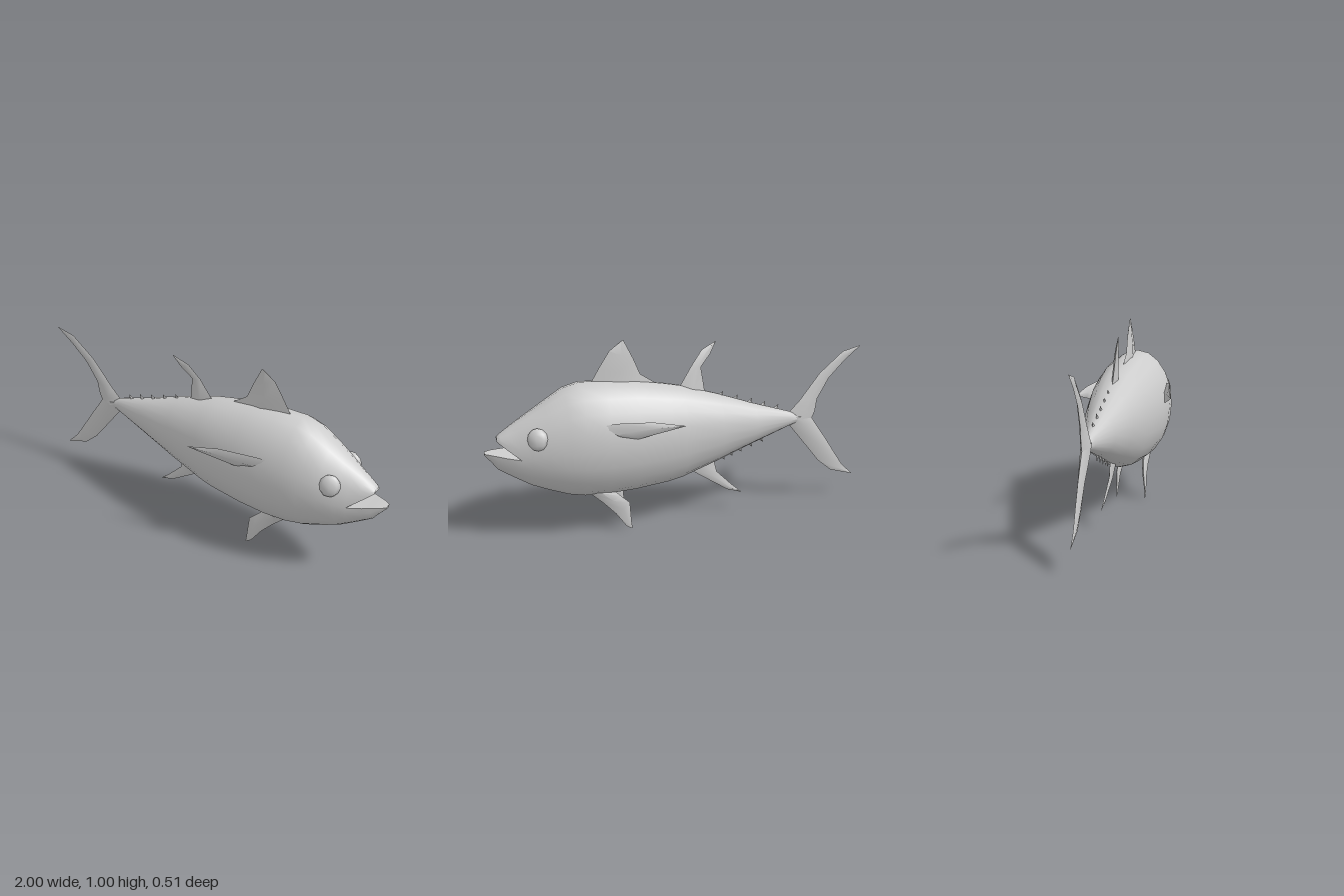
import * as THREE from 'three';
import { mergeGeometries, toCreasedNormals } from 'three/addons/utils/BufferGeometryUtils.js';

const ZC = -0.017; // body centre line
const grey = new THREE.MeshStandardMaterial({ color: 0xcccccc });
grey.name = 'fish grey';

// Joins equal-length rings of [x, y, z] points into a skin that faces outwards.
function loft(rings, capStart = true, capEnd = true) {
  const n = rings[0].length, idx = [];
  const pts = rings.flat();
  for (let i = 0; i < rings.length - 1; i++) {
    for (let j = 0; j < n; j++) {
      const a = i * n + j, b = i * n + (j + 1) % n;
      idx.push(a, a + n, b, b, a + n, b + n);
    }
  }
  const last = (rings.length - 1) * n;
  for (let j = 1; j < n - 1; j++) {
    if (capStart) idx.push(0, j, j + 1);
    if (capEnd) idx.push(last, last + j + 1, last + j);
  }
  // Signed volume about the first point tells which way the faces point.
  const v = pts.map(p => new THREE.Vector3(...p));
  let volume = 0;
  for (let k = 0; k < idx.length; k += 3) {
    const [a, b, c] = [0, 1, 2].map(o => v[idx[k + o]].clone().sub(v[0]));
    volume += a.dot(b.cross(c));
  }
  if (volume < 0) idx.reverse();
  const g = new THREE.BufferGeometry();
  g.setAttribute('position', new THREE.Float32BufferAttribute(pts.flat(), 3));
  g.setIndex(idx);
  return g;
}

// Body ring: separate heights above and below the widest level.
function ring([x, top, mid, bottom, w]) {
  return Array.from({ length: 20 }, (_, i) => {
    const a = i / 20 * Math.PI * 2, s = Math.sin(a);
    return [x, mid + s * (s > 0 ? top - mid : mid - bottom), ZC + w * Math.cos(a)];
  });
}

// Fin rows: leading x, y, trailing x, y, middle z, half thickness.
function finGeometry(rows) {
  const g = loft(rows.map(([lx, ly, tx, ty, z, t]) => {
    const mx = (lx + tx) / 2, my = (ly + ty) / 2;
    return [[lx, ly, z], [mx, my, z + t], [tx, ty, z], [mx, my, z - t]];
  }));
  return toCreasedNormals(g, 1.0);
}

export function createModel() {
  const model = new THREE.Group();
  model.name = 'fish';
  const add = (name, geometry) => {
    const mesh = new THREE.Mesh(geometry, grey);
    mesh.name = name;
    model.add(mesh);
    return mesh;
  };
  const addFin = (name, rows) => add(name, finGeometry(rows));

  // Body with open jaws: x, top, widest level, bottom, half width
  const trunk = loft([
    [-0.68, 0.5, 0.49, 0.48, 0.008],
    [-0.6, 0.535, 0.492, 0.455, 0.03],
    [-0.4, 0.6, 0.495, 0.385, 0.08],
    [-0.2, 0.672, 0.5, 0.31, 0.127],
    [0, 0.735, 0.5, 0.24, 0.165],
    [0.08, 0.752, 0.5, 0.223, 0.178],
    [0.25, 0.785, 0.5, 0.205, 0.198],
    [0.4, 0.797, 0.5, 0.198, 0.206],
    [0.52, 0.8, 0.5, 0.202, 0.198],
    [0.6, 0.778, 0.495, 0.218, 0.184],
    [0.7, 0.715, 0.485, 0.255, 0.157],
    [0.78, 0.665, 0.47, 0.288, 0.126],
    [0.83, 0.635, 0.46, 0.318, 0.102],
  ].map(ring), true, false);
  const upperJaw = loft([
    [0.83, 0.635, 0.46, 0.46, 0.102],
    [0.88, 0.6, 0.498, 0.498, 0.073],
    [0.92, 0.572, 0.528, 0.528, 0.046],
    [0.937, 0.558, 0.54, 0.54, 0.028],
  ].map(ring), false, true);
  const lowerJaw = loft([
    [0.83, 0.46, 0.46, 0.318, 0.102],
    [0.9, 0.468, 0.468, 0.362, 0.073],
    [0.94, 0.474, 0.474, 0.388, 0.053],
    [0.97, 0.478, 0.478, 0.43, 0.038],
    [1.0, 0.48, 0.48, 0.468, 0.018],
  ].map(ring), false, true);
  add('body', toCreasedNormals(mergeGeometries([trunk, upperJaw, lowerJaw]), 0.9));

  // Tail fin lobes
  addFin('upperTailFin', [
    [-0.59, 0.5, -0.73, 0.47, ZC, 0.026],
    [-0.6, 0.528, -0.75, 0.52, ZC, 0.024],
    [-0.66, 0.59, -0.76, 0.59, -0.016, 0.018],
    [-0.77, 0.73, -0.825, 0.7, -0.01, 0.012],
    [-0.9, 0.838, -0.915, 0.79, -0.004, 0.007],
    [-1, 0.862, -1, 0.858, 0, 0.001],
  ]);
  addFin('lowerTailFin', [
    [-0.59, 0.5, -0.72, 0.51, ZC, 0.026],
    [-0.61, 0.45, -0.75, 0.46, ZC, 0.024],
    [-0.71, 0.325, -0.82, 0.36, -0.014, 0.016],
    [-0.79, 0.225, -0.9, 0.238, -0.008, 0.01],
    [-0.87, 0.158, -0.94, 0.18, -0.004, 0.006],
    [-1, 0.118, -1, 0.122, 0, 0.001],
  ]);

  // Fins along the back and under the tail
  addFin('firstDorsalFin', [
    [0.47, 0.775, 0.1, 0.74, ZC, 0.018],
    [0.42, 0.86, 0.21, 0.815, ZC, 0.015],
    [0.365, 0.945, 0.245, 0.9, -0.018, 0.01],
    [0.315, 0.982, 0.292, 0.996, -0.014, 0.002],
  ]);
  addFin('secondDorsalFin', [
    [0.01, 0.72, -0.13, 0.685, ZC, 0.018],
    [-0.06, 0.83, -0.11, 0.82, -0.006, 0.012],
    [-0.12, 0.905, -0.165, 0.88, 0.013, 0.007],
    [-0.2, 0.942, -0.2, 0.938, 0.03, 0.001],
  ]);
  addFin('analFin', [
    [-0.04, 0.27, -0.18, 0.32, ZC, 0.016],
    [-0.13, 0.21, -0.2, 0.235, ZC, 0.01],
    [-0.26, 0.125, -0.285, 0.15, -0.023, 0.005],
    [-0.34, 0.1, -0.34, 0.102, -0.025, 0.001],
  ]);

  // Rows of small finlets
  [-0.52, -0.445, -0.37, -0.29, -0.21].forEach(x => {
    const y = 0.733 + 0.328 * x;
    addFin('upperFinlet', [
      [x + 0.018, y - 0.005, x - 0.015, y - 0.018, ZC, 0.008],
      [x - 0.016, y + 0.018, x - 0.018, y + 0.018, ZC, 0.001],
    ]);
  });
  [-0.44, -0.38, -0.32, -0.27, -0.225].forEach(x => {
    const y = 0.24 - 0.36 * x;
    addFin('lowerFinlet', [
      [x + 0.02, y + 0.005, x - 0.015, y + 0.018, ZC, 0.008],
      [x - 0.016, y - 0.022, x - 0.018, y - 0.022, ZC, 0.001],
    ]);
  });

  // Paired fins and eyes
  for (const [side, s] of [['right', -1], ['left', 1]]) {
    addFin(`${side}PectoralFin`, [
      [0.44, 0.625, 0.32, 0.54, ZC + s * 0.178, 0.028],
      [0.38, 0.638, 0.27, 0.546, -0.012 + s * 0.2, 0.02],
      [0.2, 0.633, 0.17, 0.572, -0.006 + s * 0.224, 0.01],
      [0.04, 0.606, 0.04, 0.604, s * 0.252, 0.001],
    ]);
    addFin(`${side}PelvicFin`, [
      [0.5, 0.23, 0.38, 0.235, -0.017 + s * 0.068, 0.026],
      [0.43, 0.165, 0.335, 0.19, -0.015 + s * 0.07, 0.018],
      [0.365, 0.095, 0.292, 0.15, -0.012 + s * 0.075, 0.012],
      [0.312, 0.018, 0.285, 0.04, -0.007 + s * 0.08, 0.004],
      [0.285, 0, 0.28, 0.003, -0.006 + s * 0.08, 0.001],
    ]);
    const eye = add(`${side}Eye`, new THREE.SphereGeometry(1, 8, 6));
    eye.scale.set(0.052, 0.056, 0.03);
    eye.position.set(0.75, 0.568, ZC + s * 0.122);
    eye.rotation.set(-s * 0.2, s * 0.35, 0);
  }
  return model;
}
